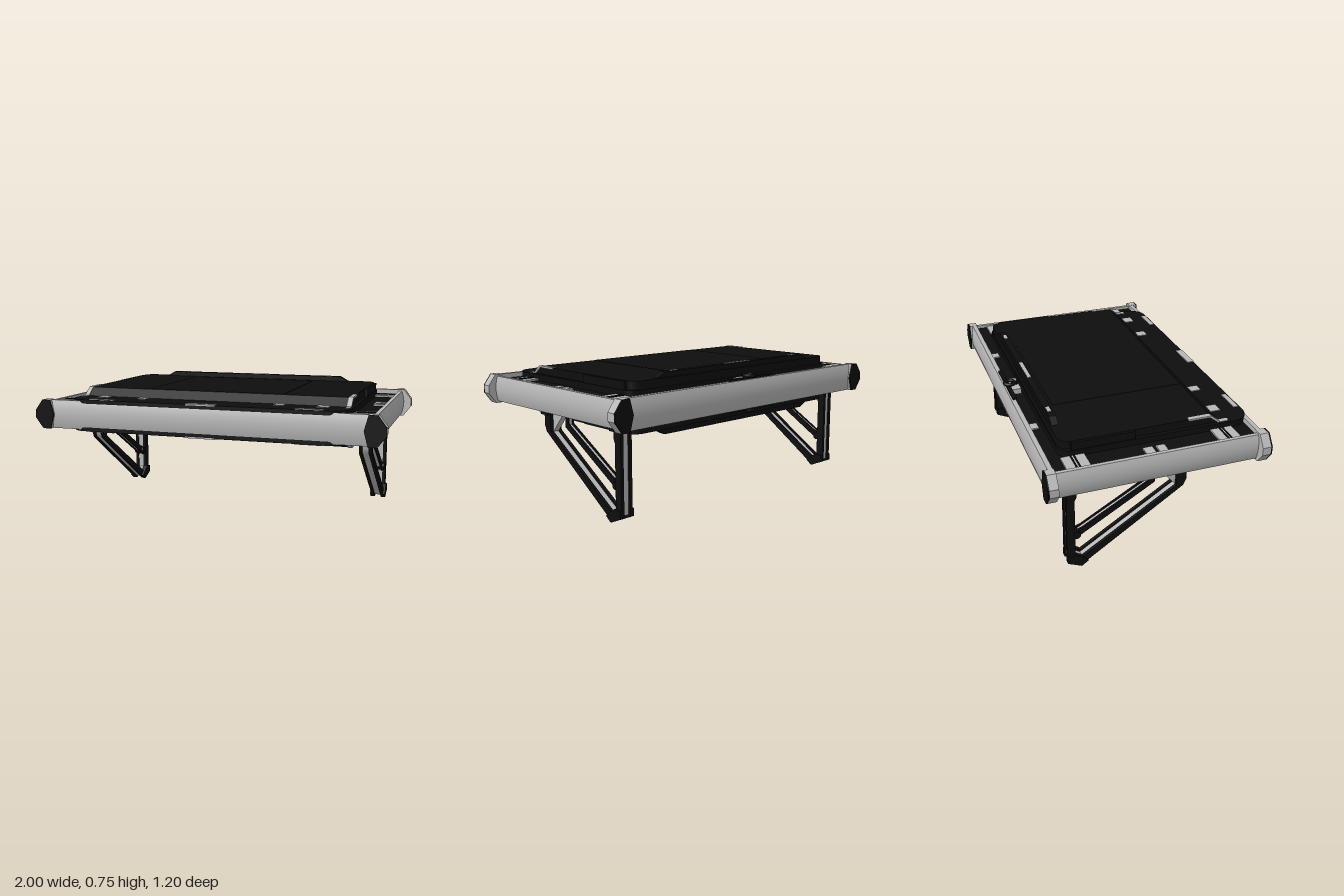
import * as THREE from 'three';
import { toCreasedNormals } from 'three/addons/utils/BufferGeometryUtils.js';

const black = new THREE.MeshStandardMaterial({ color: 0x0e0e0e });
black.name = 'matte black';
const grey = new THREE.MeshStandardMaterial({ color: 0xb8b8b8 });
grey.name = 'light grey';

const MID = 0.5875; // height of the middle plane of the case

function add(parent, name, geometry, material) {
  const mesh = new THREE.Mesh(geometry, material);
  mesh.name = name;
  parent.add(mesh);
  return mesh;
}

// Box given by its limits
function box(parent, name, mat, x0, x1, y0, y1, z0, z1) {
  const g = new THREE.BoxGeometry(x1 - x0, y1 - y0, z1 - z0);
  g.translate((x0 + x1) / 2, (y0 + y1) / 2, (z0 + z1) / 2);
  return add(parent, name, g, mat);
}

const polygon = (pts) => new THREE.Shape(pts.map(([a, b]) => new THREE.Vector2(a, b)));

function extrude(shape, depth) {
  return new THREE.ExtrudeGeometry(shape, { depth, bevelEnabled: false, curveSegments: 8 });
}

// Outline in (z, y), extruded along x from x0 to x1
function across(shape, x0, x1) {
  const g = extrude(shape, x1 - x0);
  g.rotateY(-Math.PI / 2);
  g.translate(x1, 0, 0);
  return toCreasedNormals(g, 0.6);
}

// Flat slab with rounded plan corners (rb at the back, rf at the front)
function slab(x, zb, zf, rb, rf, y0, y1) {
  const s = new THREE.Shape();
  s.moveTo(-x + rf, -zf);
  s.lineTo(x - rf, -zf);
  if (rf) s.absarc(x - rf, -zf + rf, rf, -Math.PI / 2, 0);
  s.lineTo(x, -zb - rb);
  s.absarc(x - rb, -zb - rb, rb, 0, Math.PI / 2);
  s.lineTo(-x + rb, -zb);
  s.absarc(-x + rb, -zb - rb, rb, Math.PI / 2, Math.PI);
  s.lineTo(-x, -zf + rf);
  if (rf) s.absarc(-x + rf, -zf + rf, rf, Math.PI, Math.PI * 1.5);
  const g = extrude(s, y1 - y0);
  g.rotateX(-Math.PI / 2);
  g.translate(0, y0, 0);
  return toCreasedNormals(g, 0.6);
}

// Rail section with a gently bulged outer face
function railShape(inner, outer, h) {
  const s = new THREE.Shape();
  s.moveTo(inner, -h);
  s.lineTo(outer - 0.015, -h);
  s.quadraticCurveTo(outer + 0.012, 0, outer - 0.015, h);
  s.lineTo(inner, h);
  return s;
}

// One cover shell, facing up, measured from the middle plane
function buildCover(name) {
  const c = new THREE.Group();
  c.name = name;
  add(c, 'coverFlange', slab(0.8, -0.48, 0.578, 0.06, 0.1, 0.04, 0.09), black);
  add(c, 'coverDeck', slab(0.78, -0.475, 0.345, 0.06, 0, 0.08, 0.135), black);
  add(c, 'deckSlope', across(polygon([[0.34, 0.08], [0.4, 0.08], [0.4, 0.09], [0.345, 0.135], [0.34, 0.135]]), -0.78, 0.78), black);
  box(c, 'centrePanel', black, -0.4, 0.4, 0.134, 0.137, -0.4, 0.34);
  const lip = [[-0.62, 0.08], [0.62, 0.08], [0.61, 0.137], [0.565, 0.163], [-0.565, 0.163], [-0.61, 0.137]];
  const lipGeometry = extrude(polygon(lip), 0.038);
  lipGeometry.translate(0, 0, -0.466);
  add(c, 'rearLip', lipGeometry, black);
  box(c, 'lipMark', grey, -0.1, 0.1, 0.16, 0.165, -0.457, -0.437);
  // Latch at the back edge
  box(c, 'latchPlate', grey, -0.07, 0.07, 0.05, 0.086, -0.55, -0.49);
  box(c, 'latchBar', black, -0.18, 0.18, 0.078, 0.092, -0.565, -0.542);
  const ring = new THREE.TorusGeometry(0.028, 0.01, 8, 20);
  ring.rotateX(Math.PI / 2);
  ring.translate(0, 0.097, -0.54);
  add(c, 'latchRing', ring, black);
  box(c, 'latchTongue', black, -0.012, 0.012, 0.08, 0.1, -0.53, -0.495);
  box(c, 'frontClip', grey, -0.085, 0.085, 0.086, 0.094, 0.54, 0.58);

  for (const s of [-1, 1]) {
    // Box mirrored to the side s
    const part = (n, m, a, b, ...rest) => box(c, n, m, Math.min(a * s, b * s), Math.max(a * s, b * s), ...rest);
    part('rearShoulder', black, 0.77, 0.795, 0.08, 0.133, -0.42, -0.08);
    const strip = polygon([[0.22, 0.128], [0.34, 0.128], [0.395, 0.085], [0.45, 0.085], [0.45, 0.093], [0.402, 0.093], [0.347, 0.138], [0.22, 0.138]]);
    add(c, 'edgeStrip', s > 0 ? across(strip, 0.762, 0.787) : across(strip, -0.787, -0.762), grey);
    part('lipTab', grey, 0.46, 0.51, 0.16, 0.165, -0.457, -0.437);
    part('rearTab', grey, 0.43, 0.485, 0.05, 0.062, -0.55, -0.5);
    part('outerPad', grey, 0.61, 0.675, 0.088, 0.094, 0.402, 0.46);
    part('innerPad', grey, 0.375, 0.43, 0.088, 0.094, 0.402, 0.46);
    part('frontStrip', grey, 0.52, 0.67, 0.088, 0.094, 0.542, 0.57);
    part('sideTab', grey, 0.85, 0.91, 0.05, 0.064, -0.062, -0.01);
    part('sideTab', grey, 0.85, 0.91, 0.05, 0.064, 0.01, 0.056);
    for (const [z0, z1] of [[-0.48, -0.355], [0.34, 0.46]]) {
      part('cornerBracket', grey, 0.8, 0.915, 0.05, 0.064, z0, z1);
      for (const t of [0.42, 0.56]) {
        const z = z0 + (z1 - z0) * t;
        part('bracketBar', black, 0.8, 0.925, 0.06, 0.068, z - 0.004, z + 0.004);
      }
    }
  }
  return c;
}

// Outer frame: bulged rails and faceted corner caps
function buildFrame() {
  const f = new THREE.Group();
  f.name = 'frame';
  box(f, 'core', black, -0.925, 0.925, -0.055, 0.055, -0.552, 0.552);
  const cap = [[0.885, 0], [0.907, 0.0825], [0.955, 0.0825], [1, 0.022], [1, -0.022], [0.955, -0.0825], [0.907, -0.0825]];
  for (const turn of [0, Math.PI]) {
    const half = new THREE.Group();
    half.name = turn ? 'backHalf' : 'frontHalf';
    half.rotation.y = turn;
    f.add(half);
    add(half, 'longRail', across(railShape(0.548, 0.589, 0.0815), -0.92, 0.92), grey);
    const end = across(railShape(0.92, 0.956, 0.0725), -0.55, 0.55);
    end.rotateY(Math.PI / 2);
    add(half, 'endRail', end, grey);
    for (const s of [-1, 1]) {
      const outline = polygon(cap.map(([x, y]) => [x * s, y]));
      const body = extrude(outline, 0.047);
      body.translate(0, 0, 0.545);
      add(half, 'cornerCap', body, grey);
      const plate = extrude(outline, 0.008);
      plate.translate(0, 0, 0.592);
      add(half, 'cornerPlate', plate, black);
    }
  }
  return f;
}

// Folding leg: pairs of black side plates with a recessed grey web
function buildLeg(name, side) {
  const leg = new THREE.Group();
  leg.name = name;
  leg.position.x = side * 0.832;
  const pair = (n, shape, inner, outer) => {
    add(leg, n, across(shape, inner, outer), black);
    add(leg, n, across(shape, -outer, -inner), black);
  };
  const plate = polygon([[0.185, 0.51], [0.185, 0.42], [0.17, 0.385], [-0.398, 0], [-0.475, 0.035], [-0.475, 0.51],
    [-0.42, 0.51], [-0.42, 0.44], [-0.43, 0.42], [-0.43, 0.08], [-0.39, 0.055], [0.13, 0.39], [0.13, 0.51]]);
  pair('legPlate', plate, 0.018, 0.036);
  const web = polygon([[0.175, 0.5], [0.175, 0.42], [0.16, 0.388], [-0.392, 0.016], [-0.465, 0.045], [-0.465, 0.5],
    [-0.437, 0.5], [-0.437, 0.073], [-0.39, 0.044], [0.137, 0.385], [0.137, 0.5]]);
  add(leg, 'legWeb', across(web, -0.019, 0.019), grey);
  const foot = polygon([[-0.36, 0.028], [-0.398, 0], [-0.475, 0.035], [-0.475, 0.075], [-0.43, 0.08], [-0.39, 0.055]]);
  pair('foot', foot, 0.03, 0.046);
  const brace = polygon([[0.012, 0.5], [0.012, 0.43], [-0.39, 0.19], [-0.43, 0.163], [-0.44, 0.2], [-0.41, 0.225], [-0.39, 0.23], [-0.012, 0.45], [-0.012, 0.5]]);
  pair('bracePlate', brace, 0.01, 0.02);
  const braceWeb = polygon([[0.006, 0.49], [0.006, 0.435], [-0.43, 0.175], [-0.43, 0.2], [-0.006, 0.443], [-0.006, 0.49]]);
  add(leg, 'braceWeb', across(braceWeb, -0.011, 0.011), grey);
  // Pivot, link and slide track under the case
  const pin = new THREE.CylinderGeometry(0.022, 0.022, 0.06, 16);
  pin.rotateZ(Math.PI / 2);
  pin.translate(0, 0.195, -0.418);
  add(leg, 'bracePin', pin, black);
  const link = polygon([[0.13, 0.388], [0.04, 0.49], [0.04, 0.52], [0.14, 0.52], [0.15, 0.42]]);
  add(leg, 'foldLink', across(link, -0.017, 0.017), grey);
  box(leg, 'slideTrack', grey, -0.017, 0.017, 0.497, 0.53, -0.37, -0.04);
  for (const z of [0.15, -0.45]) box(leg, 'hingePlate', black, -0.05, 0.064, 0.485, 0.535, z - 0.03, z + 0.03);
  return leg;
}

export function createModel() {
  const model = new THREE.Group();
  model.name = 'foldingPanelTable';
  const body = new THREE.Group();
  body.name = 'case';
  body.position.y = MID;
  const lower = buildCover('lowerCover');
  lower.rotation.z = Math.PI;
  body.add(buildFrame(), buildCover('upperCover'), lower);
  model.add(body, buildLeg('leftLeg', 1), buildLeg('rightLeg', -1));
  return model;
}
